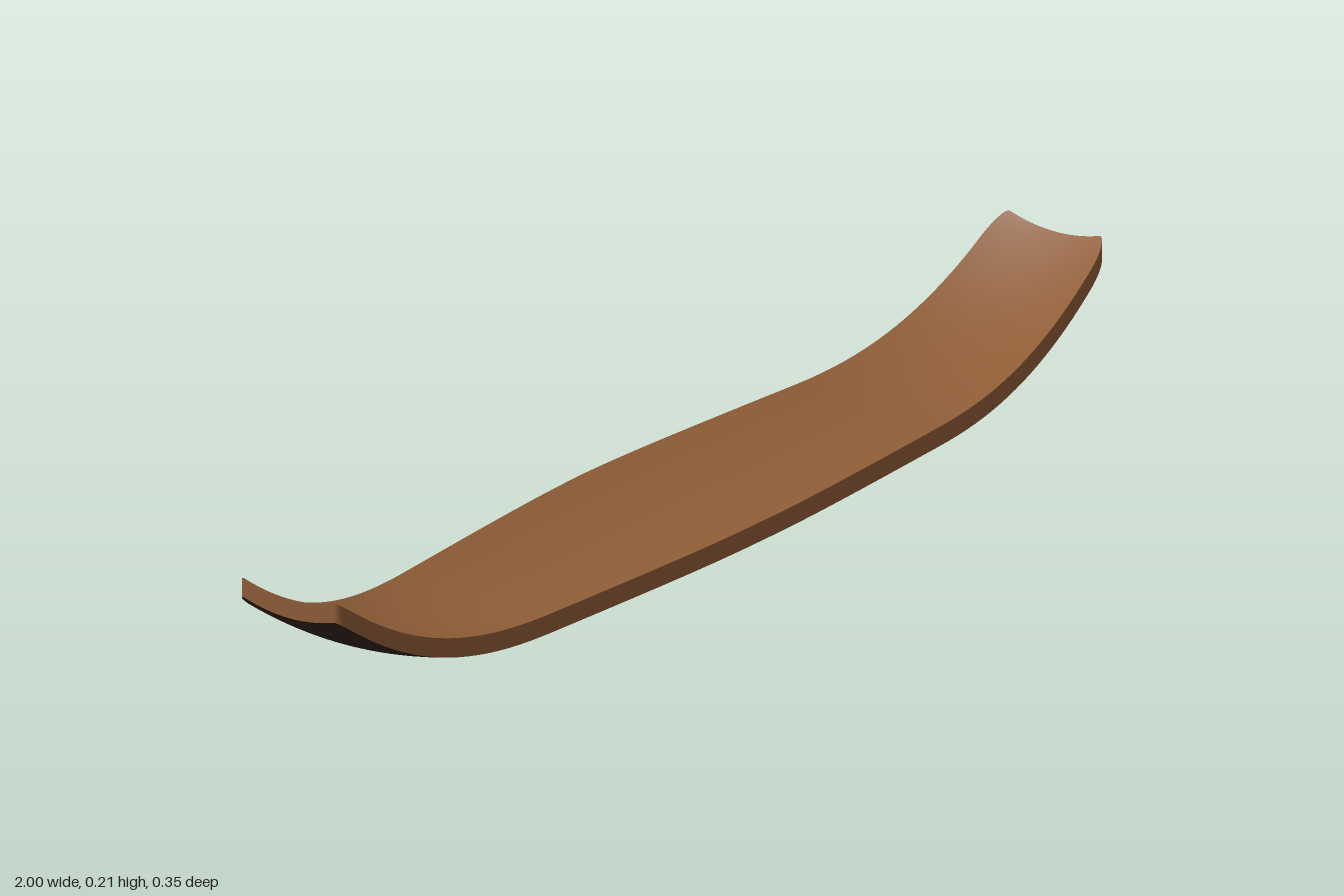
import * as THREE from 'three';

const THICKNESS = 0.033;

// Half width of the board at x: gentle taper, rounded corners at the tips
function halfWidth(x) {
  const a = Math.min(1, Math.abs(x));
  const corner = Math.max(0, (a - 0.95) / 0.05);
  const taper = 0.082 * (Math.sqrt(a * a + 0.04) - 0.2);
  return 0.175 - taper - 0.017 * (1 - Math.sqrt(Math.max(0, 1 - corner * corner)));
}

// Underside height: upturned tips plus a shallow dish across the width (v = -1..1)
function underside(x, v) {
  const a = Math.abs(x);
  const rise = 0.161 * Math.pow(Math.max(0, (a - 0.5) / 0.5), 2.4);
  return 0.002 + rise + (0.02 - 0.006 * a) * v * v;
}

// Point of the board; h = 0 on the underside, 1 on the deck
function boardPoint(x, v, h) {
  return [x, underside(x, v) + h * THICKNESS, v * halfWidth(x)];
}

// Grid surface from a rule over s, t in 0..1
function surface(rule, ns, nt, flip) {
  const positions = [];
  const index = [];
  for (let i = 0; i <= ns; i++) {
    for (let j = 0; j <= nt; j++) positions.push(...rule(i / ns, j / nt));
  }
  for (let i = 0; i < ns; i++) {
    for (let j = 0; j < nt; j++) {
      const a = i * (nt + 1) + j;
      const b = a + 1;
      const c = a + nt + 1;
      const d = c + 1;
      if (flip) index.push(a, c, b, b, c, d);
      else index.push(a, b, c, b, d, c);
    }
  }
  const geometry = new THREE.BufferGeometry();
  geometry.setAttribute('position', new THREE.Float32BufferAttribute(positions, 3));
  geometry.setIndex(index);
  geometry.computeVertexNormals();
  return geometry;
}

export function createModel() {
  const group = new THREE.Group();
  group.name = 'curvedBoard';

  const wood = new THREE.MeshStandardMaterial({ color: 0x8f5d37 });
  wood.name = 'brown wood';
  const base = new THREE.MeshStandardMaterial({ color: 0x33241c });
  base.name = 'dark base';

  const add = (name, geometry, material) => {
    const mesh = new THREE.Mesh(geometry, material);
    mesh.name = name;
    group.add(mesh);
  };

  // Stations along the length, closer together at the tips
  const along = (s) => Math.sin((s - 0.5) * Math.PI);
  const across = (t) => t * 2 - 1;

  // Deck and underside
  add('deck', surface((s, t) => boardPoint(along(s), across(t), 1), 96, 20, false), wood);
  add('underside', surface((s, t) => boardPoint(along(s), across(t), 0), 96, 20, true), base);

  // Long edges and tip edges, mirrored
  for (const side of [1, -1]) {
    const label = side > 0 ? ['frontEdge', 'leftTipEdge'] : ['backEdge', 'rightTipEdge'];
    add(label[0], surface((s, t) => boardPoint(along(s), side, t), 96, 1, side > 0), wood);
    add(label[1], surface((s, t) => boardPoint(side, across(s), t), 20, 1, side < 0), wood);
  }

  return group;
}
